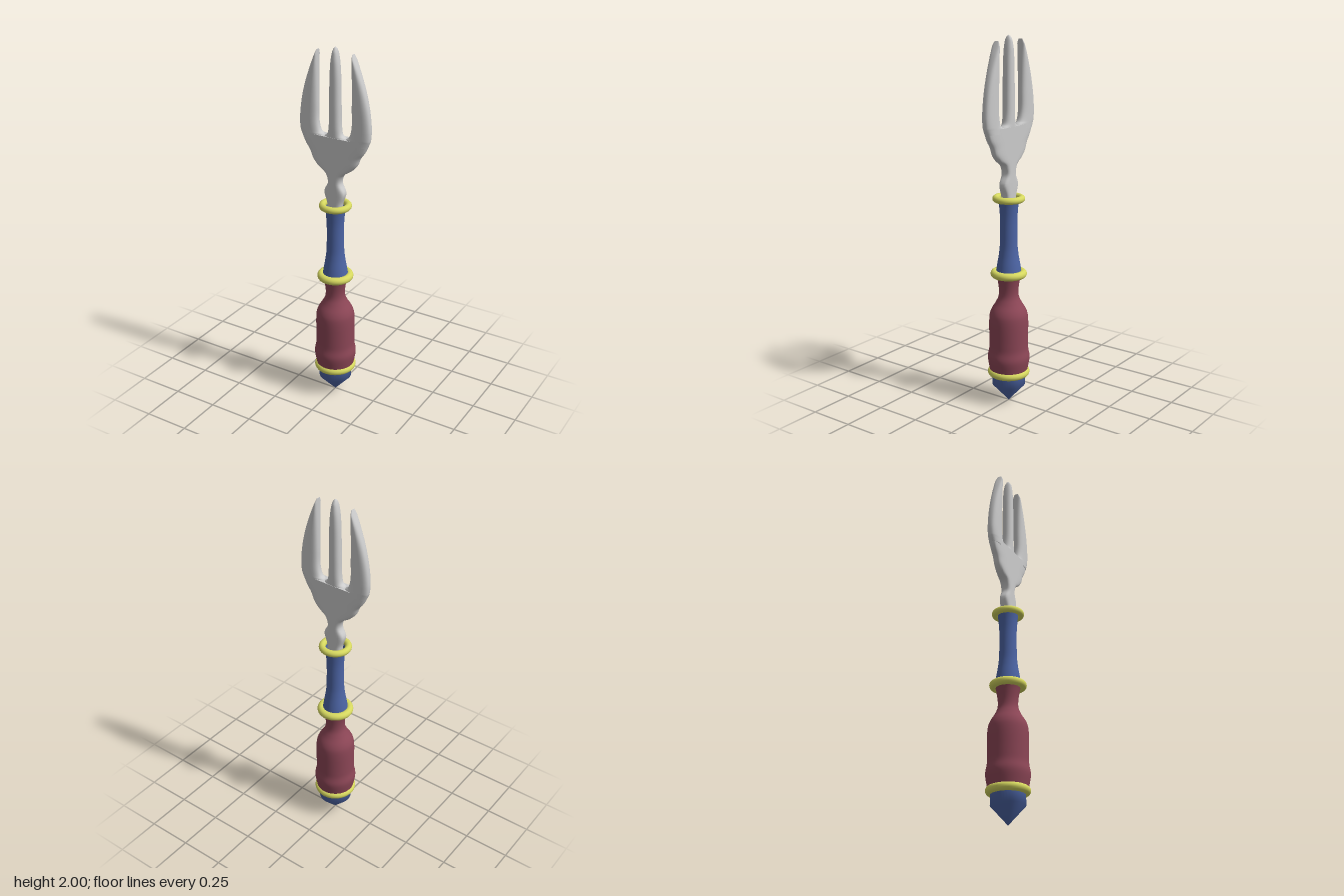
import * as THREE from 'three';

const mat = (color) => new THREE.MeshStandardMaterial({ color, side: THREE.DoubleSide });

// Rounded profile turned around the y axis; points are [radius, y]
function turned(name, points, material, smooth = true) {
  let pts = points.map(([r, y]) => new THREE.Vector2(r, y));
  if (smooth) pts = new THREE.SplineCurve(pts).getPoints(48);
  const mesh = new THREE.Mesh(new THREE.LatheGeometry(pts, 40), material);
  mesh.name = name;
  return mesh;
}

// Loft of superellipse sections along y; each section is [y, xMin, xMax, halfDepth]
function loft(name, sections, material, power) {
  const steps = 40, sides = 28;
  const rows = [0, 1, 2].map((k) => sections.map((s) => s[k + 1]));
  // Interpolate smoothly through the sections
  const spline = new THREE.CatmullRomCurve3(
    sections.map(([y, a, b]) => new THREE.Vector3(a, y, b)), false, 'centripetal');
  const pos = [], index = [];
  for (let i = 0; i <= steps; i++) {
    const t = i / steps, p = spline.getPoint(t);
    const f = t * (sections.length - 1), k = Math.min(Math.floor(f), sections.length - 2);
    const depth = THREE.MathUtils.lerp(rows[2][k], rows[2][k + 1], f - k);
    const mid = (p.x + p.z) / 2, half = (p.z - p.x) / 2;
    for (let j = 0; j < sides; j++) {
      const a = (j / sides) * Math.PI * 2, c = Math.cos(a), s = Math.sin(a);
      pos.push(mid + half * Math.sign(c) * Math.abs(c) ** (2 / power), p.y,
        depth * Math.sign(s) * Math.abs(s) ** (2 / power));
      if (i < steps) {
        const n = i * sides + j, m = i * sides + ((j + 1) % sides);
        index.push(n, n + sides, m, m, n + sides, m + sides);
      }
    }
  }
  // End caps with their own vertices so the rims stay crisp
  for (const row of [0, steps]) {
    const base = pos.length / 3, src = row * sides * 3;
    pos.push(...pos.slice(src, src + sides * 3));
    for (let j = 1; j < sides - 1; j++) {
      if (row) index.push(base, base + j + 1, base + j);
      else index.push(base, base + j, base + j + 1);
    }
  }
  const geo = new THREE.BufferGeometry();
  geo.setAttribute('position', new THREE.Float32BufferAttribute(pos, 3));
  geo.setIndex(index);
  geo.computeVertexNormals();
  const mesh = new THREE.Mesh(geo, material);
  mesh.name = name;
  return mesh;
}

export function createModel() {
  const model = new THREE.Group();
  model.name = 'fork';
  const metal = mat(0xcccccc), blue = mat(0x4c64a4), red = mat(0x8c4656), yellow = mat(0xd6d860);

  // Handle
  model.add(turned('pommel', [[0, 0], [0.09, 0.1], [0.09, 0.17]], blue, false));
  model.add(turned('grip', [[0.1, 0.17], [0.106, 0.2], [0.115, 0.26], [0.107, 0.31], [0.106, 0.36],
    [0.106, 0.48], [0.096, 0.53], [0.07, 0.575], [0.055, 0.61], [0.053, 0.65], [0.06, 0.7], [0.068, 0.735]], red));
  model.add(turned('gripTop', [[0.068, 0.735], [0, 0.735]], red, false));
  model.add(turned('neck', [[0.07, 0.74], [0.062, 0.79], [0.052, 0.85], [0.047, 0.91], [0.046, 1.03],
    [0.05, 1.1], [0.056, 1.15]], blue));

  // Collar rings: [name, y, ring radius, tube radius]
  for (const [name, y, radius, tube] of [['lowerRing', 0.174, 0.093, 0.022],
    ['middleRing', 0.738, 0.077, 0.021], ['upperRing', 1.151, 0.069, 0.018]]) {
    const ring = new THREE.Mesh(new THREE.TorusGeometry(radius, tube, 16, 48), yellow);
    ring.rotation.x = Math.PI / 2;
    ring.position.y = y;
    ring.name = name;
    model.add(ring);
  }

  // Fork head: waisted shank flaring into the palm, given as [y, half width]
  const head = new THREE.Group();
  head.name = 'forkHead';
  const palm = [[1.14, 0.038], [1.17, 0.042], [1.23, 0.06], [1.285, 0.036], [1.33, 0.05], [1.365, 0.098],
    [1.4, 0.13], [1.44, 0.147], [1.48, 0.175], [1.535, 0.2]];
  head.add(loft('palm', palm.map(([y, w]) => [y, -w, w, 0.03]), metal, 3.4));

  // Middle tine, flared at its root
  head.add(loft('middleTine', [[1.52, 0.075], [1.535, 0.06], [1.55, 0.042], [1.59, 0.034], [1.7, 0.031],
    [1.85, 0.028], [1.93, 0.022], [1.975, 0.014], [1.994, 0.007], [2, 0.001]].map(([y, w], i) =>
    [y, -w, w, [0.029, 0.029, 0.029, 0.029, 0.029, 0.028, 0.026, 0.02, 0.009, 0.001][i]]), metal, 2.4));

  // Outer tines, curved outside and straight inside
  const outer = [[1.51, 0.065, 0.189, 0.029], [1.535, 0.067, 0.2, 0.029], [1.55, 0.085, 0.204, 0.029],
    [1.6, 0.099, 0.207, 0.029], [1.7, 0.1, 0.196, 0.029], [1.8, 0.1, 0.172, 0.028],
    [1.9, 0.1, 0.136, 0.026], [1.95, 0.1, 0.114, 0.023], [1.975, 0.1, 0.103, 0.012]];
  head.add(loft('leftTine', outer, metal, 2.6));
  head.add(loft('rightTine', outer.map(([y, a, b, d]) => [y, -b, -a, d]), metal, 2.6));
  model.add(head);
  return model;
}
